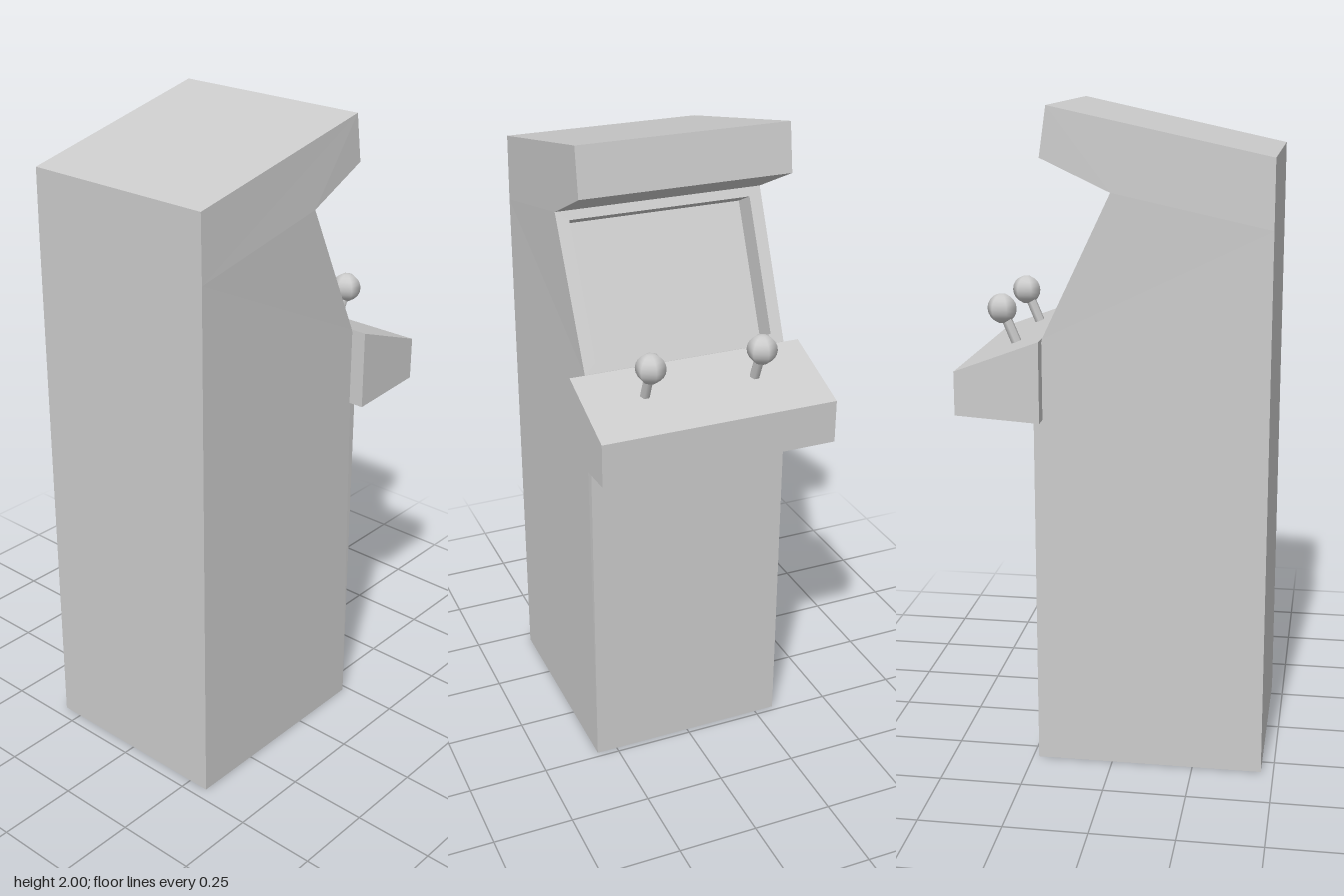
import * as THREE from 'three';

const material = new THREE.MeshStandardMaterial({ color: 0xcccccc, flatShading: true });
const smoothMaterial = new THREE.MeshStandardMaterial({ color: 0xcccccc });

// Pushes a four-cornered face (counter-clockwise from its front) as two triangles
const quad = (out, a, b, c, d) => {
  for (const p of [a, b, c, a, c, d]) out.push(p.x, p.y, p.z);
};

// Pushes the four quads joining one loop of corners to the next
const ring = (out, outer, inner) => {
  for (let i = 0; i < 4; i++) {
    const j = (i + 1) % 4;
    quad(out, outer[i], outer[j], inner[j], inner[i]);
  }
};

// Solid from a counter-clockwise side profile of [x, y, halfWidth];
// drawEdge can replace the plain face on any profile edge
function profileSolid(name, profile, drawEdge = {}) {
  const out = [];
  const at = (p, side) => new THREE.Vector3(p[0], p[1], p[2] * side);
  const contour = profile.map(([x, y]) => new THREE.Vector2(x, y));
  for (const [a, b, c] of THREE.ShapeUtils.triangulateShape(contour, [])) {
    for (const i of [a, b, c]) out.push(...at(profile[i], 1).toArray());
    for (const i of [a, c, b]) out.push(...at(profile[i], -1).toArray());
  }
  profile.forEach((p, i) => {
    const q = profile[(i + 1) % profile.length];
    const corners = [at(p, 1), at(p, -1), at(q, -1), at(q, 1)];
    (drawEdge[i] ?? quad)(out, ...corners);
  });
  const geometry = new THREE.BufferGeometry();
  geometry.setAttribute('position', new THREE.Float32BufferAttribute(out, 3));
  geometry.computeVertexNormals();
  const mesh = new THREE.Mesh(geometry, material);
  mesh.name = name;
  return mesh;
}

// Sloped face with a border and a sunken screen
function screenFace(out, a, b, c, d) {
  const depth = 0.08;
  const normal = b.clone().sub(a).cross(d.clone().sub(a)).normalize();
  const point = (t, z) => {
    const p = a.clone().lerp(d, t);
    p.z = z;
    return p;
  };
  const opening = [point(0.06, 0.28), point(0.06, -0.28), point(0.94, -0.285), point(0.94, 0.285)];
  const screen = opening.map((p) => p.clone().addScaledVector(normal, -depth));
  ring(out, [a, b, c, d], opening);
  ring(out, opening, screen);
  quad(out, ...screen);
}

function createJoystick(z) {
  const joystick = new THREE.Group();
  joystick.name = 'joystick';
  const base = new THREE.Vector3(0.305, 1.275, z);
  const top = new THREE.Vector3(0.355, 1.395, z);
  const axis = top.clone().sub(base);

  const stick = new THREE.Mesh(new THREE.CylinderGeometry(0.016, 0.016, axis.length(), 6), smoothMaterial);
  stick.name = 'stick';
  stick.position.copy(base).lerp(top, 0.5);
  stick.quaternion.setFromUnitVectors(new THREE.Vector3(0, 1, 0), axis.normalize());

  const knob = new THREE.Mesh(new THREE.SphereGeometry(0.045, 6, 10), smoothMaterial);
  knob.name = 'knob';
  knob.position.copy(top);

  joystick.add(stick, knob);
  return joystick;
}

export function createModel() {
  const model = new THREE.Group();
  model.name = 'arcadeCabinet';

  // Cabinet body, widening slightly towards the hood; edge 3 carries the screen
  const body = profileSolid('cabinetBody', [
    [-0.462, 0, 0.316],
    [0.232, 0, 0.316],
    [0.232, 1.2, 0.316],
    [0.203, 1.335, 0.318],
    [0, 1.76, 0.324],
    [0.203, 1.855, 0.324],
    [0.182, 2, 0.324],
    [-0.462, 1.862, 0.314],
    [-0.462, 1.66, 0.316],
  ], { 3: screenFace });

  // Control panel, wider than the body
  const panel = profileSolid('controlPanel', [
    [0.205, 1.092, 0.365],
    [0.458, 1.108, 0.365],
    [0.458, 1.24, 0.365],
    [0.205, 1.335, 0.365],
  ]);

  model.add(body, panel);
  for (const z of [0.177, -0.169]) model.add(createJoystick(z));
  return model;
}
